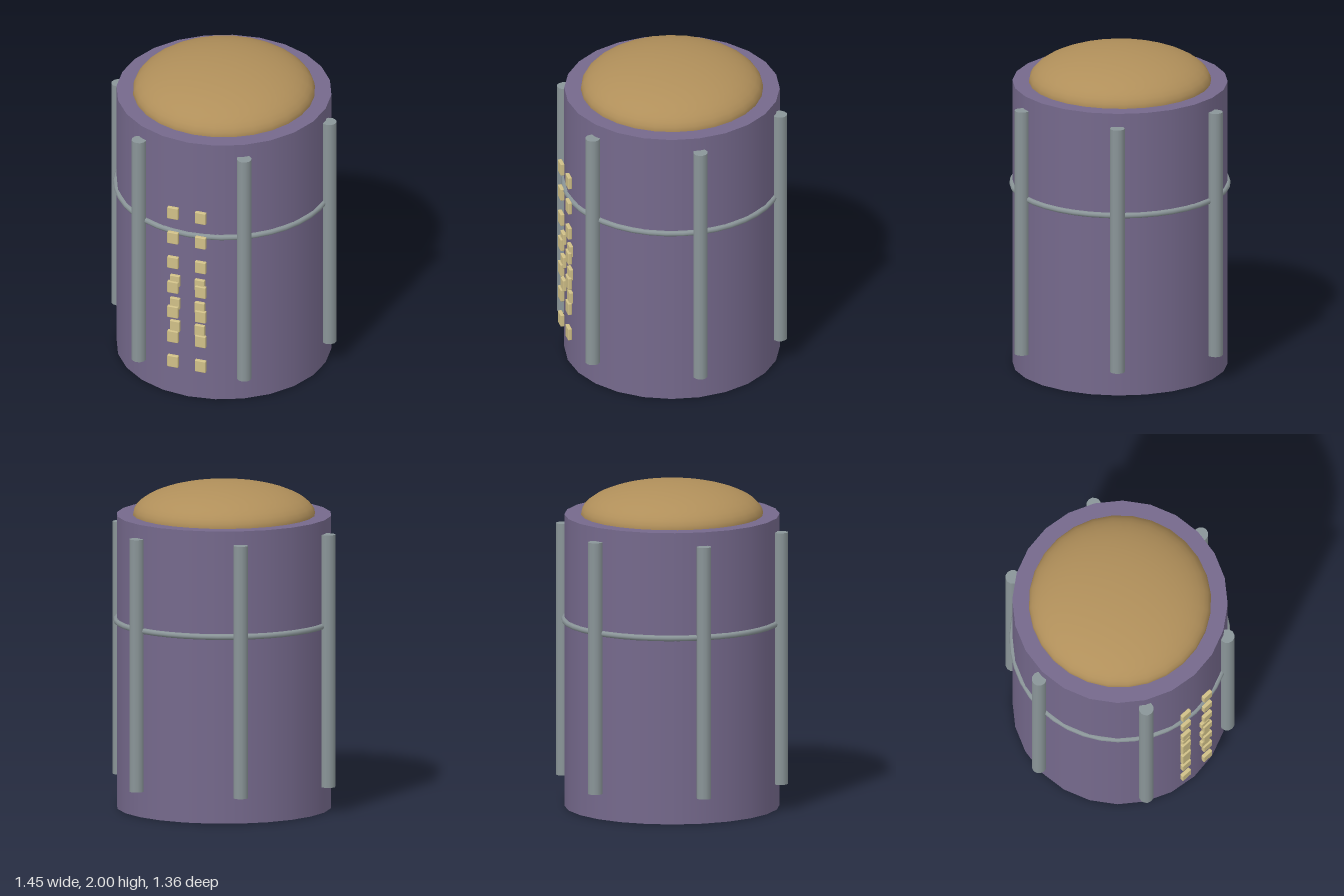
import * as THREE from 'three';
import { RoundedBoxGeometry } from 'three/addons/geometries/RoundedBoxGeometry.js';

const material = (name, color) => {
  const m = new THREE.MeshStandardMaterial({ color });
  m.name = name;
  return m;
};

export function createModel() {
  const purple = material('dusty purple', 0x75698c);
  const bronze = material('bronze', 0xb08f5a);
  const steel = material('grey steel', 0x8a9598);
  const cream = material('pale cream', 0xd0c088);

  const model = new THREE.Group();
  model.name = 'drumTower';
  const add = (name, geometry, mat, x = 0, y = 0, z = 0, parent = model) => {
    const mesh = new THREE.Mesh(geometry, mat);
    mesh.name = name;
    mesh.position.set(x, y, z);
    parent.add(mesh);
    return mesh;
  };
  const cz = -0.007; // the drum sits slightly back, as the windows stand proud at the front

  // Main drum
  add('body', new THREE.CylinderGeometry(0.655, 0.655, 1.8, 24), purple, 0, 0.9, cz);

  // Flattened dome on the roof
  const domeGeometry = new THREE.SphereGeometry(0.555, 28, 12, 0, Math.PI * 2, 0, Math.PI / 2);
  domeGeometry.scale(1, 0.2 / 0.555, 1);
  add('dome', domeGeometry, bronze, 0, 1.8, cz);

  // Pipe ring around the drum
  const ringGeometry = new THREE.TorusGeometry(0.655, 0.018, 8, 40);
  ringGeometry.rotateX(Math.PI / 2);
  add('ring', ringGeometry, steel, 0, 1.15, cz);

  // Six vertical pipes
  const pipes = new THREE.Group();
  pipes.name = 'pipes';
  model.add(pipes);
  const pipeGeometry = new THREE.CylinderGeometry(0.045, 0.045, 1.555, 12);
  for (let i = 0; i < 6; i++) {
    const a = (i * Math.PI) / 3;
    add('pipe', pipeGeometry, steel, Math.cos(a) * 0.679, 0.938, cz + Math.sin(a) * 0.679, pipes);
  }

  // Two columns of windows, with a smaller set tucked between them
  const windows = new THREE.Group();
  windows.name = 'windows';
  model.add(windows);
  const windowGeometry = new RoundedBoxGeometry(0.07, 0.08, 0.025, 2, 0.005);
  const smallGeometry = new RoundedBoxGeometry(0.064, 0.076, 0.024, 2, 0.005);
  for (const side of [-1, 1]) {
    for (let i = 0; i < 7; i++) {
      add('window', windowGeometry, cream, side * 0.089, 0.244 + i * 0.175, 0.666, windows);
    }
    for (let i = 0; i < 3; i++) {
      add('smallWindow', smallGeometry, cream, side * 0.08, 0.488 + i * 0.161, 0.654, windows);
    }
  }

  return model;
}
